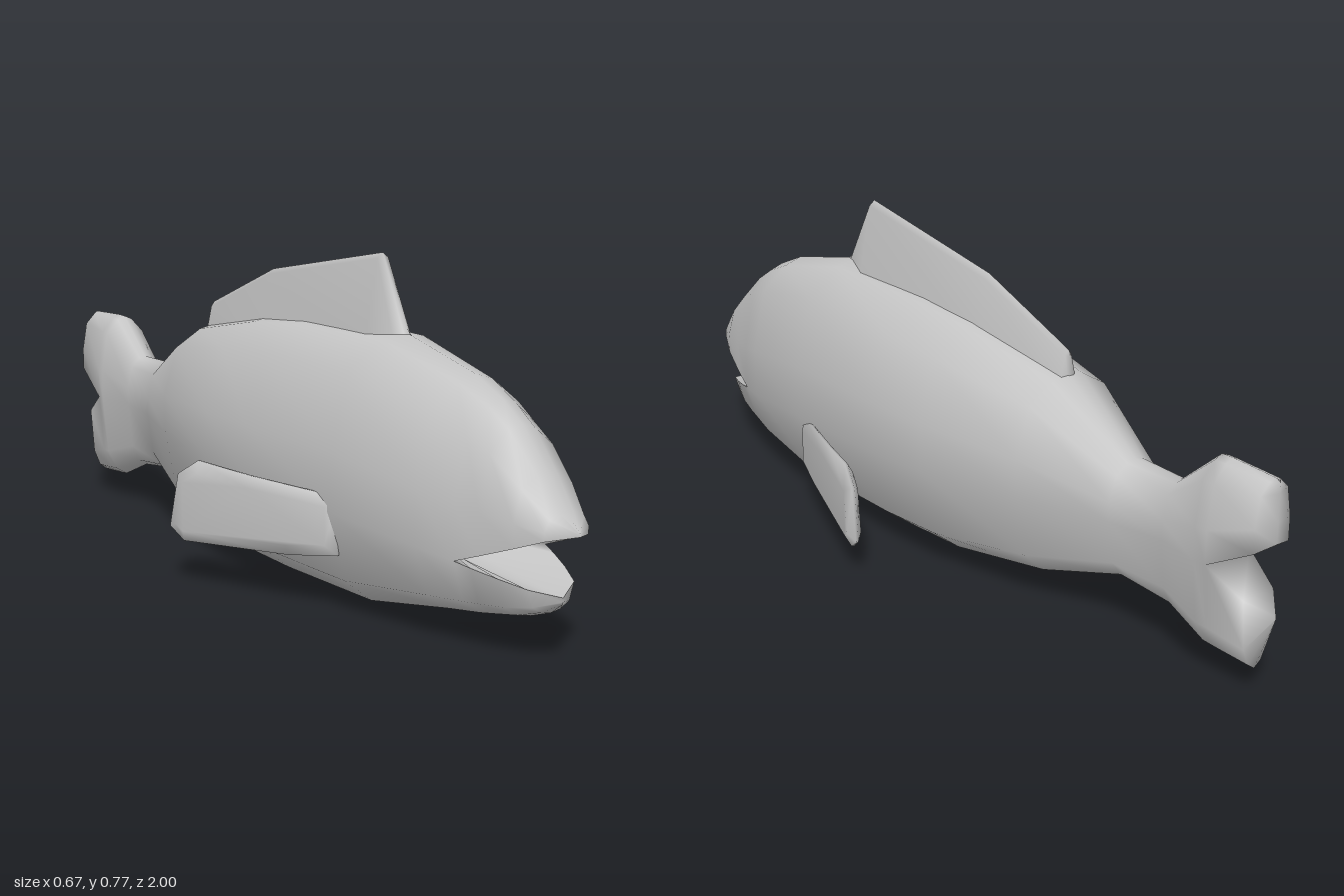
import * as THREE from 'three';
import { mergeVertices } from 'three/addons/utils/BufferGeometryUtils.js';

// Smooth-shaded geometry from a list of triangle corners
function smooth(points) {
  const g = new THREE.BufferGeometry();
  g.setAttribute('position', new THREE.Float32BufferAttribute(points.flat(), 3));
  const merged = mergeVertices(g, 1e-4);
  merged.computeVertexNormals();
  return merged;
}

// Skin rings running from front to back; closed(i) joins the ends of ring i
function skin(rings, closed = () => false) {
  const out = [];
  for (let i = 0; i < rings.length - 1; i++) {
    const A = rings[i], B = rings[i + 1], n = A.length;
    for (let j = 0; j < (closed(i) ? n : n - 1); j++) {
      const k = (j + 1) % n;
      out.push(A[j], B[j], A[k], A[k], B[j], B[k]);
    }
  }
  return out;
}

// Half-sections: [share of half width, share of the way from the side to the edge]
const UPPER = [[1, 0], [1, 0.35], [0.77, 0.8], [0.3, 0.96], [0, 1]];
const LOWER = [[1, 0], [0.8, 0.68], [0.42, 0.92], [0, 1]];

// Ring from [z, half width, side height, edge height]; dir is 1 above, -1 below
function halfRing([z, w, side, edge], section, dir) {
  const right = section.map(([a, b]) => [a * w * dir, side + b * (edge - side), z]);
  const left = right.slice(0, -1).reverse().map(([x, y, d]) => [-x, y, d]);
  return [...right, ...left];
}

export function createModel() {
  const group = new THREE.Group();
  const grey = new THREE.MeshStandardMaterial({ color: 0xc4c4c4 });
  grey.name = 'grey';
  grey.side = THREE.DoubleSide;
  const add = (name, geometry) => {
    const mesh = new THREE.Mesh(geometry, grey);
    mesh.name = name;
    group.add(mesh);
    return mesh;
  };

  // Trunk: z, half width, side height, back height, belly height
  const trunk = [
    [0.76, 0.122, 0.195, 0.515, 0.065],
    [0.67, 0.152, 0.21, 0.555, 0.052],
    [0.42, 0.188, 0.235, 0.615, 0.005],
    [0.1, 0.2, 0.25, 0.61, 0.008],
    [-0.08, 0.196, 0.26, 0.595, 0.015],
    [-0.36, 0.147, 0.28, 0.54, 0.06],
    [-0.58, 0.072, 0.28, 0.41, 0.13],
    [-0.72, 0.052, 0.285, 0.41, 0.115],
  ];
  // Jaws, from tip to mouth corner
  const upperJaw = [
    [1.0, 0, 0.278, 0.284], [0.96, 0.058, 0.268, 0.32],
    [0.9, 0.085, 0.245, 0.39], [0.82, 0.108, 0.216, 0.475],
  ];
  const lowerJaw = [
    [0.955, 0, 0.145, 0.132], [0.92, 0.06, 0.162, 0.106],
    [0.86, 0.088, 0.175, 0.085], [0.8, 0.11, 0.187, 0.073],
  ];
  // Tail lobes, parting at the fork
  const upperLobe = [
    [-0.83, 0.07, 0.285, 0.505], [-0.86, 0.066, 0.285, 0.506],
    [-0.975, 0.052, 0.348, 0.502], [-0.99, 0, 0.36, 0.5],
  ];
  const lowerLobe = [
    [-0.83, 0.07, 0.285, 0.07], [-0.86, 0.066, 0.285, 0.067],
    [-0.95, 0.045, 0.232, 0.062], [-1.0, 0, 0.202, 0.195],
  ];
  const upper = [...upperJaw, ...trunk.map(([z, w, s, t]) => [z, w, s, t]), ...upperLobe]
    .map((r) => halfRing(r, UPPER, 1));
  const lower = [...lowerJaw, ...trunk.map(([z, w, s, , b]) => [z, w, s, b]), ...lowerLobe]
    .map((r) => halfRing(r, LOWER, -1));
  const fork = upperJaw.length + trunk.length + 1;
  const forked = (i) => i >= fork;
  add('body', smooth([...skin(upper, forked), ...skin(lower, forked)]));

  // Mouth lining: funnel from the lips into the head, facing inward
  const corner = trunk[0];
  const lips = [];
  for (const [z, w, y] of [corner, ...[...upperJaw].reverse()]) lips.push([w, y, z]);
  for (const [z, w, y] of [...upperJaw.slice(1), corner]) lips.push([-w, y, z]);
  for (const [z, w, y] of [...lowerJaw].reverse()) lips.push([-w, y, z]);
  for (const [z, w, y] of lowerJaw.slice(1)) lips.push([w, y, z]);
  lips.reverse();
  const throat = lips.map(([x, y]) => [x * 0.4, 0.2 + (y - 0.2) * 0.8, 0.62]);
  const end = lips.map(() => [0, 0.2, 0.58]);
  const lining = skin([lips, throat, end], () => true);
  add('mouthLining', smooth(lining));

  // Dorsal fin: z, half width at base, base height, top height
  const dorsal = [
    [0.46, 0.0, 0.57, 0.6], [0.435, 0.03, 0.57, 0.622], [0.345, 0.05, 0.575, 0.778],
    [-0.09, 0.045, 0.555, 0.702], [-0.362, 0.03, 0.49, 0.595], [-0.368, 0, 0.49, 0.59],
  ].map(([z, w, b, t]) => [
    [w, b, z], [w * 0.3, t - 0.012, z], [0, t, z], [-w * 0.3, t - 0.012, z], [-w, b, z],
  ]);
  add('dorsalFin', smooth(skin(dorsal)));

  // Pectoral fins: outline as [z, y], swept outward and back
  const outline = [
    [0.42, 0.1], [0.3, 0.082], [0.02, 0.07], [-0.018, 0.1], [0.005, 0.225],
    [0.06, 0.262], [0.2, 0.246], [0.42, 0.23],
  ].map(([z, y]) => new THREE.Vector2((0.42 - z) / 0.94, y));
  const fin = new THREE.ExtrudeGeometry(new THREE.Shape(outline), {
    depth: 0.006, bevelEnabled: true, bevelThickness: 0.014, bevelSize: 0.025,
    bevelOffset: -0.025, bevelSegments: 1,
  });
  fin.translate(0, 0, -0.003);
  fin.deleteAttribute('uv');
  fin.deleteAttribute('normal');
  const finGeometry = mergeVertices(fin, 1e-4);
  finGeometry.computeVertexNormals();
  const sweep = 1.213;
  for (const [name, side, lift] of [['leftPectoralFin', 1, 0], ['rightPectoralFin', -1, 0.038]]) {
    const mesh = add(name, finGeometry);
    mesh.position.set(side * 0.168, lift, 0.42);
    mesh.rotation.y = side > 0 ? sweep : Math.PI - sweep;
  }
  return group;
}
